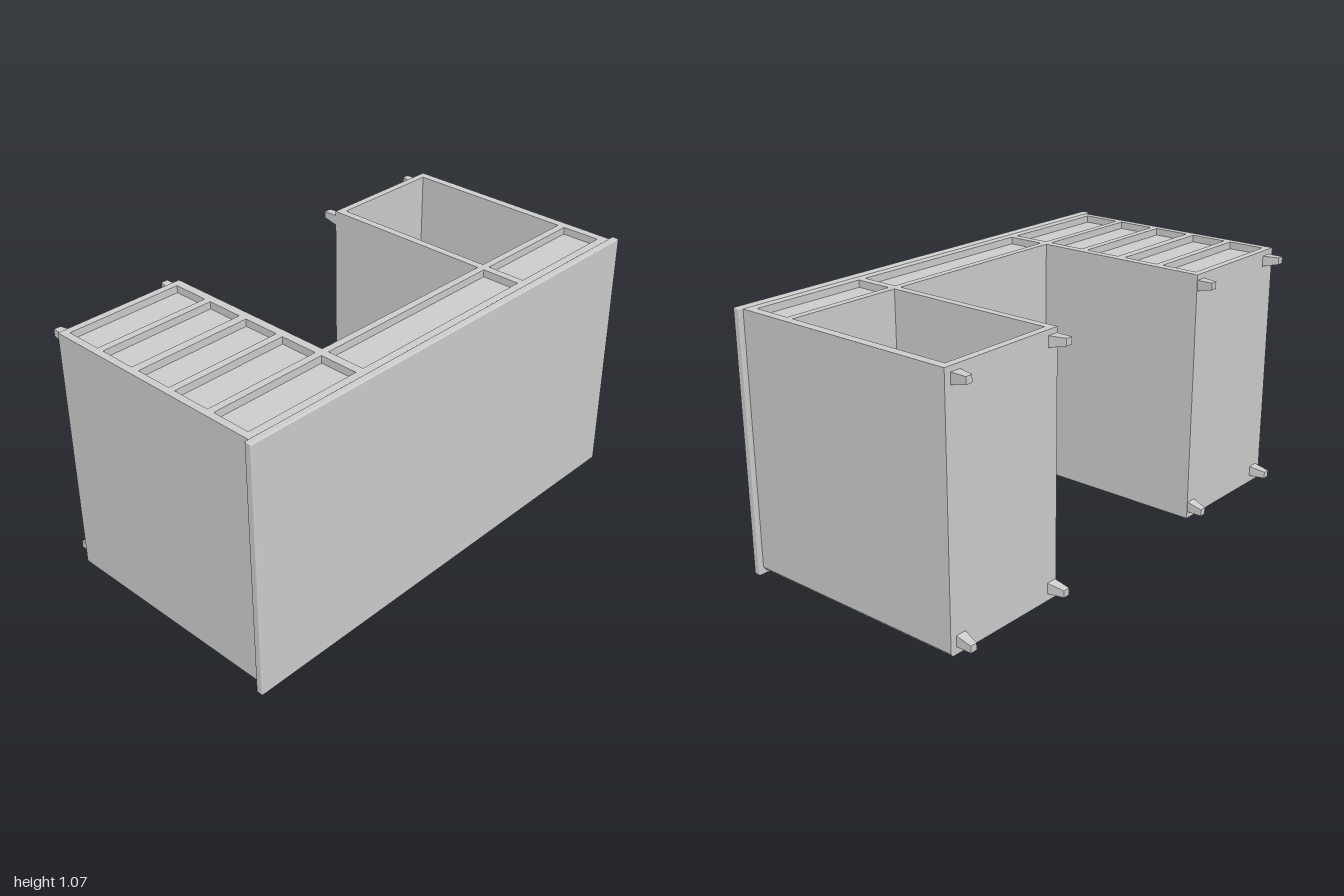
import * as THREE from 'three';
import { RoundedBoxGeometry } from 'three/addons/geometries/RoundedBoxGeometry.js';

const FRONT = 0.035, BACK = 1.065; // y of the drawer fronts and of the open rear

export function createModel() {
  const desk = new THREE.Group();
  desk.name = 'desk';
  const mat = new THREE.MeshStandardMaterial({ color: 0xcccccc });
  const add = (name, geo, x = 0, y = 0, z = 0) => {
    const mesh = new THREE.Mesh(geo, mat);
    mesh.name = name;
    mesh.position.set(x, y, z);
    desk.add(mesh);
    return mesh;
  };

  // Openings in the carcass as [x0, x1, z0, z1]
  const drawers = [[-0.44, -0.285], [-0.255, -0.1], [-0.065, 0.09], [0.12, 0.28], [0.31, 0.47]]
    .map(([z0, z1]) => [-0.95, -0.46, z0, z1]);
  drawers.push([-0.425, 0.425, 0.31, 0.47], [0.457, 0.945, 0.31, 0.47]);
  const cupboard = [0.457, 0.945, -0.44, 0.28];

  // Carcass: U-shaped outline with openings, extruded along y
  const outline = [[-0.98, 0.51], [0.98, 0.51], [0.98, -0.47], [0.425, -0.47],
    [0.425, 0.28], [-0.425, 0.28], [-0.425, -0.47], [-0.98, -0.47]];
  const shape = new THREE.Shape(outline.map(([x, z]) => new THREE.Vector2(x, -z)));
  for (const [x0, x1, z0, z1] of [...drawers, cupboard]) {
    shape.holes.push(new THREE.Path([[x0, z0], [x1, z0], [x1, z1], [x0, z1]]
      .map(([x, z]) => new THREE.Vector2(x, -z))));
  }
  const slab = (depth) =>
    new THREE.ExtrudeGeometry(shape, { depth, bevelEnabled: false }).rotateX(-Math.PI / 2);
  add('carcass', slab(BACK - FRONT - 0.012), 0, FRONT + 0.012, 0);

  // Front frame, eased along the outer side edges
  const frame = slab(0.012);
  const p = frame.attributes.position;
  for (let i = 0; i < p.count; i++) {
    if (Math.abs(p.getX(i)) > 0.975 && p.getY(i) < 0.006) p.setX(i, Math.sign(p.getX(i)) * 0.971);
  }
  frame.computeVertexNormals();
  add('frontFrame', frame);
  desk.getObjectByName('frontFrame').position.y = FRONT;

  // Drawers and door, with a fine gap all round
  const fill = (name, [x0, x1, z0, z1], top) => add(name,
    new THREE.BoxGeometry(x1 - x0 - 0.005, top - FRONT, z1 - z0 - 0.005),
    (x0 + x1) / 2, (FRONT + top) / 2, (z0 + z1) / 2);
  drawers.forEach((d) => fill('drawer', d, 1.037));
  fill('cupboardDoor', cupboard, FRONT + 0.028);

  // Table top
  add('tableTop', new RoundedBoxGeometry(2, 1.054, 0.031, 3, 0.006), 0, 1.07 - 0.527, 0.5195);

  // Turned knobs on the four lower drawers
  const knobGeo = new THREE.LatheGeometry([
    [0, 0], [0.01, 0.001], [0.016, 0.005], [0.016, 0.008], [0.009, 0.011],
    [0.006, 0.015], [0.006, 0.024], [0.012, 0.028], [0.014, 0.036],
  ].map(([r, y]) => new THREE.Vector2(r, y)), 20);
  for (const z of [0.22, 0.03, -0.16, -0.35]) add('drawerKnob', knobGeo, -0.705, 0, z);

  // Keyhole plates on the top row and the door
  const plateGeo = new THREE.CylinderGeometry(0.014, 0.012, 0.006, 20);
  for (const [x, z] of [[-0.705, 0.418], [0, 0.418], [0.7, 0.418], [0.507, 0.165]]) {
    add('keyholePlate', plateGeo, x, FRONT - 0.001, z);
  }

  // Feet: straight on the outer faces, tapering on the inner ones
  const footGeo = (sx, sy) => {
    const g = new THREE.BoxGeometry(0.045, 0.043, 0.065);
    const v = g.attributes.position;
    for (let i = 0; i < v.count; i++) {
      if (v.getZ(i) > 0) continue;
      if (v.getX(i) * sx < 0) v.setX(i, v.getX(i) + sx * 0.016);
      if (v.getY(i) * sy < 0) v.setY(i, v.getY(i) + sy * 0.015);
    }
    g.computeVertexNormals();
    return g;
  };
  for (const side of [-1, 1]) {
    for (const [x, sx] of [[0.93, 1], [0.451, -1]]) {
      for (const [y, sy] of [[1.022, 1], [0.0855, -1]]) {
        add('foot', footGeo(side * sx, sy), side * x, y, -0.5025);
      }
    }
  }
  return desk;
}
